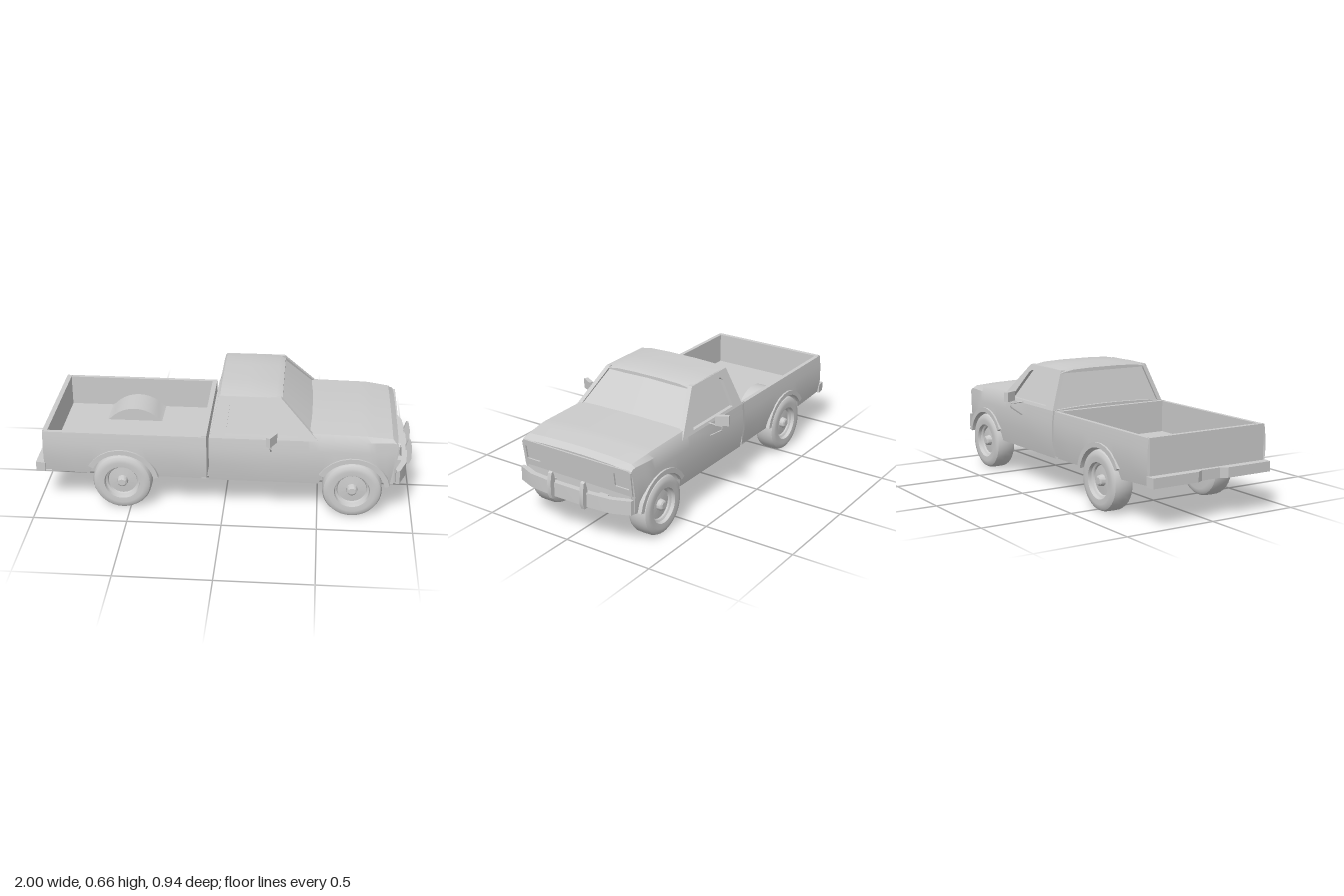
import * as THREE from 'three';
import { toCreasedNormals } from 'three/addons/utils/BufferGeometryUtils.js';

const grey = new THREE.MeshStandardMaterial({ color: 0xcccccc, side: THREE.DoubleSide });
const AXLES = { rear: -0.54, front: 0.68 };
const ARCH_R = 0.178, AXLE_Y = 0.158;

function add(parent, name, geo, crease = 0.5) {
  const mesh = new THREE.Mesh(toCreasedNormals(geo, crease), grey);
  mesh.name = name;
  parent.add(mesh);
  return mesh;
}

function box(parent, name, x0, x1, y0, y1, z0, z1) {
  const geo = new THREE.BoxGeometry(x1 - x0, y1 - y0, z1 - z0);
  return add(parent, name, geo.translate((x0 + x1) / 2, (y0 + y1) / 2, (z0 + z1) / 2));
}

// Builds a part twice, once per side of the centre line
function bothSides(parent, name, build) {
  for (const s of [1, -1]) {
    const side = new THREE.Group();
    side.name = name;
    side.scale.z = s;
    build(side);
    parent.add(side);
  }
}

// Skin over closed rings of [x, y, z], with optional end caps
function loft(rings, caps = true) {
  const n = rings[0].length, pos = rings.flat(2), idx = [];
  for (let r = 0; r < rings.length - 1; r++)
    for (let i = 0; i < n; i++) {
      const a = r * n + i, b = r * n + (i + 1) % n;
      idx.push(a, b, a + n, b, b + n, a + n);
    }
  if (caps) [0, rings.length - 1].forEach((r) => {
    const c = pos.length / 3;
    for (let k = 0; k < 3; k++) pos.push(rings[r].reduce((s, p) => s + p[k], 0) / n);
    for (let i = 0; i < n; i++) {
      const a = r * n + i, b = r * n + (i + 1) % n;
      if (r) idx.push(a, b, c); else idx.push(b, a, c);
    }
  });
  const geo = new THREE.BufferGeometry();
  geo.setAttribute('position', new THREE.Float32BufferAttribute(pos, 3));
  geo.setIndex(idx);
  geo.computeVertexNormals();
  return geo;
}

const polygon = (pts) => new THREE.Shape(pts.map((p) => new THREE.Vector2(...p)));
const extrude = (shape, depth) => new THREE.ExtrudeGeometry(shape, { depth, bevelEnabled: false });
// Plan outline in x, z extruded downwards from yTop
const slab = (pts, yTop, h) => extrude(polygon(pts), h).rotateX(Math.PI / 2).translate(0, yTop, 0);

// Piecewise linear lookup
function lerpTable(t, v) {
  let i = 1;
  while (i < t.length - 1 && v > t[i][0]) i++;
  const [a, b] = [t[i - 1], t[i]];
  return THREE.MathUtils.lerp(a[1], b[1], THREE.MathUtils.clamp((v - a[0]) / (b[0] - a[0]), 0, 1));
}
const sideZ = (y) => lerpTable([[0.18, 0.342], [0.29, 0.36], [0.38, 0.358], [0.445, 0.35]], y);

// Lower edge of the body, rising over a wheel
function archY(x, cx, r, base) {
  const d = Math.abs(x - cx);
  return d < r ? Math.max(base, AXLE_Y + Math.sqrt(r * r - d * d)) : base;
}
const archStations = (cx) => Array.from({ length: 19 }, (_, i) => cx - ARCH_R * Math.cos((i * Math.PI) / 18));

// Half section of [y, z] mirrored into a closed ring at x
const ring = (x, half) => [
  ...half.map(([y, z]) => [x, y, z]),
  ...half.slice().reverse().map(([y, z]) => [x, y, -z]),
];

function buildCab(truck) {
  const cab = new THREE.Group();
  cab.name = 'cab';
  truck.add(cab);

  // Lower body and hood with front wheel wells
  const topY = [[0.44, 0.455], [0.45, 0.486], [0.75, 0.481], [0.88, 0.466], [0.915, 0.437]];
  const rings = [-0.075, 0.2, 0.44, 0.45, ...archStations(AXLES.front), 0.88, 0.9, 0.91].map((x) => {
    const b = archY(x, AXLES.front, ARCH_R, 0.185), top = lerpTable(topY, x);
    const taper = lerpTable([[0.78, 1], [0.91, 0.96]], x);
    const half = [[0.185, 0.24], [b, 0.24]];
    for (const y of [b, Math.max(b, 0.29), Math.max(b, 0.38), Math.min(0.44, top - 0.015)])
      half.push([y, sideZ(y) * taper]);
    half.push([top - 0.012, 0.33 * taper], [top - 0.004, 0.2], [top, 0.05]);
    const lean = lerpTable([[0.86, 0], [0.91, 0.14]], x);
    return ring(x, half).map(([px, y, z]) => [px - lean * Math.max(0, 0.43 - y), y, z]);
  });
  add(cab, 'lowerBodyAndHood', loft(rings));

  // Recessed glass
  const level = (y, back, front, z, bow) =>
    [[back, y, -z], [back, y, z], [front, y, z], [front + bow, y, z * 0.5], [front + bow * 1.3, y, 0],
      [front + bow, y, -z * 0.5], [front, y, -z]];
  add(cab, 'glass', loft([level(0.44, -0.06, 0.485, 0.332, 0.018), level(0.64, -0.015, 0.28, 0.256, 0.012)]));

  // Door frames leaning inwards around the side windows
  bothSides(cab, 'windowFrame', (side) => {
    const shape = polygon([[-0.072, 0.44], [0.495, 0.44], [0.295, 0.645], [-0.028, 0.645]]);
    shape.holes.push(polygon([[0.012, 0.455], [0.39, 0.455], [0.285, 0.605], [0.265, 0.615], [0.045, 0.615], [0.03, 0.6]]));
    const geo = extrude(shape, 0.025), p = geo.attributes.position;
    for (let i = 0; i < p.count; i++) p.setZ(i, p.getZ(i) + 0.325 - (p.getY(i) - 0.445) * 0.385);
    add(side, 'doorFrame', geo);
  });

  // Crowned roof
  const roof = [[-0.033, -0.012], [-0.022, 0], [0.12, 0.003], [0.27, -0.001], [0.302, -0.012]].map(([x, d]) =>
    ring(x, [[0.63, 0.278], [0.645 + d, 0.268], [0.657 + d, 0.2], [0.661 + d, 0.09]]));
  add(cab, 'roof', loft(roof));

  // Front panel with headlight openings, leaning back towards the bottom
  const panel = polygon([[-0.335, 0.29], [0.335, 0.29], [0.338, 0.42], [0.325, 0.432], [-0.325, 0.432], [-0.338, 0.42]]);
  for (const s of [1, -1])
    panel.holes.push(polygon([[s * 0.235, 0.325], [s * 0.32, 0.325], [s * 0.32, 0.4], [s * 0.235, 0.4]]));
  const face = extrude(panel, 0.014).rotateY(Math.PI / 2), fp = face.attributes.position;
  for (let i = 0; i < fp.count; i++) fp.setX(i, fp.getX(i) + 0.905 - 0.14 * (0.43 - fp.getY(i)));
  add(cab, 'frontPanel', face);
  box(cab, 'lowerValance', 0.85, 0.895, 0.185, 0.29, -0.325, 0.325);
  box(cab, 'underside', -0.07, 0.86, 0.175, 0.2, -0.24, 0.24);

  // Door mirrors on tube brackets
  bothSides(cab, 'doorMirror', (side) => {
    const head = add(side, 'mirrorHead', new THREE.BoxGeometry(0.024, 0.053, 0.072));
    head.position.set(0.255, 0.482, 0.432);
    head.rotation.y = -0.5;
    for (const pts of [[[0.35, 0.37], [0.43, 0.425], [0.43, 0.46]], [[0.34, 0.445], [0.43, 0.445]]]) {
      const path = new THREE.CurvePath();
      for (let i = 1; i < pts.length; i++)
        path.add(new THREE.LineCurve3(...[pts[i - 1], pts[i]].map(([z, y]) => new THREE.Vector3(0.25, y, z))));
      add(side, 'mirrorBracket', new THREE.TubeGeometry(path, 12, 0.004, 6), 0.9);
    }
  });
}

function buildBed(truck) {
  const bed = new THREE.Group();
  bed.name = 'cargoBed';
  truck.add(bed);
  // Walls, floor and wheel tubs in one section
  const rings = [-0.955, -0.8, ...archStations(AXLES.rear), -0.25, -0.09].map((x) => {
    const base = lerpTable([[-0.955, 0.21], [-0.7, 0.195], [-0.09, 0.19]], x);
    const b = archY(x, AXLES.rear, ARCH_R, base);
    const tub = archY(x, AXLES.rear, ARCH_R + 0.006, 0.27);
    const half = [[base, 0.145], [b, 0.145]];
    for (const y of [b, Math.max(b, 0.29), Math.max(b, 0.38), 0.44]) half.push([y, sideZ(y)]);
    half.push([0.44, 0.328], [Math.max(0.27, tub), 0.328], [Math.max(0.27, tub), 0.14], [0.27, 0.14]);
    return ring(x, half);
  });
  add(bed, 'bedShell', loft(rings, false));
  box(bed, 'tailgate', -0.956, -0.93, 0.21, 0.442, -0.345, 0.345);
  box(bed, 'bedFrontWall', -0.115, -0.089, 0.19, 0.442, -0.345, 0.345);
  box(bed, 'cabLink', -0.1, -0.06, 0.2, 0.26, -0.2, 0.2);
  // Step bumper with a notch in the middle
  add(bed, 'rearBumper', slab([[-0.95, -0.36], [-1, -0.355], [-1, -0.09], [-0.98, -0.055], [-0.98, 0.055],
    [-1, 0.09], [-1, 0.355], [-0.95, 0.36]], 0.258, 0.052));
}

function buildFrontBumper(truck) {
  const bumper = new THREE.Group();
  bumper.name = 'frontBumper';
  truck.add(bumper);
  const outer = [[0.905, 0.348], [0.925, 0.345], [0.962, 0.25], [0.974, 0.12]];
  const inner = [[0.944, 0.12], [0.934, 0.24], [0.905, 0.318]];
  const flip = (pts) => pts.map(([x, z]) => [x, -z]).reverse();
  add(bumper, 'bumperBar', slab([...outer, ...flip(outer), ...flip(inner), ...inner], 0.28, 0.076));
  bothSides(bumper, 'bumperGuard', (side) => {
    const guard = polygon([[0.965, 0.197], [0.99, 0.197], [1, 0.225], [1, 0.29], [0.99, 0.335], [0.978, 0.342], [0.965, 0.3]]);
    add(side, 'guard', extrude(guard, 0.022).translate(0, 0, 0.09));
    box(side, 'bracket', 0.87, 0.95, 0.215, 0.26, 0.14, 0.19);
  });
}

function buildWheels(truck) {
  const profile = [[0, -0.058], [0.12, -0.06], [0.138, -0.058], [0.15, -0.05], [0.157, -0.035], [0.158, 0], [0.157, 0.035],
    [0.15, 0.05], [0.138, 0.058], [0.12, 0.06], [0.094, 0.058], [0.09, 0.04], [0.08, 0.034], [0.076, 0.026],
    [0.03, 0.03], [0.026, 0.052], [0.018, 0.058], [0, 0.058]].map((p) => new THREE.Vector2(...p));
  for (const [end, cx] of Object.entries(AXLES)) {
    bothSides(truck, end + 'Wheel', (side) => {
      add(side, 'tyreAndRim', new THREE.LatheGeometry(profile, 36).rotateX(Math.PI / 2)).position.set(cx, AXLE_Y, 0.31);
      // Flared lip around the wheel opening
      const arc = (r, n, a0, a1) => Array.from({ length: n + 1 }, (_, i) => {
        const a = a0 + ((a1 - a0) * i) / n;
        return [cx + r * Math.cos(a), AXLE_Y + r * Math.sin(a) * 0.97];
      });
      const lip = polygon([...arc(0.2, 10, 0.2, Math.PI - 0.5), ...arc(0.173, 14, Math.PI - 0.5, 0.2)]);
      add(side, 'wheelArchLip', extrude(lip, 0.022).translate(0, 0, 0.347));
    });
    const axle = new THREE.CylinderGeometry(0.016, 0.016, 0.52, 12).rotateX(Math.PI / 2);
    add(truck, end + 'Axle', axle).position.set(cx, 0.19, 0);
  }
}

export function createModel() {
  const truck = new THREE.Group();
  truck.name = 'pickupTruck';
  buildCab(truck);
  buildBed(truck);
  buildFrontBumper(truck);
  buildWheels(truck);
  return truck;
}
